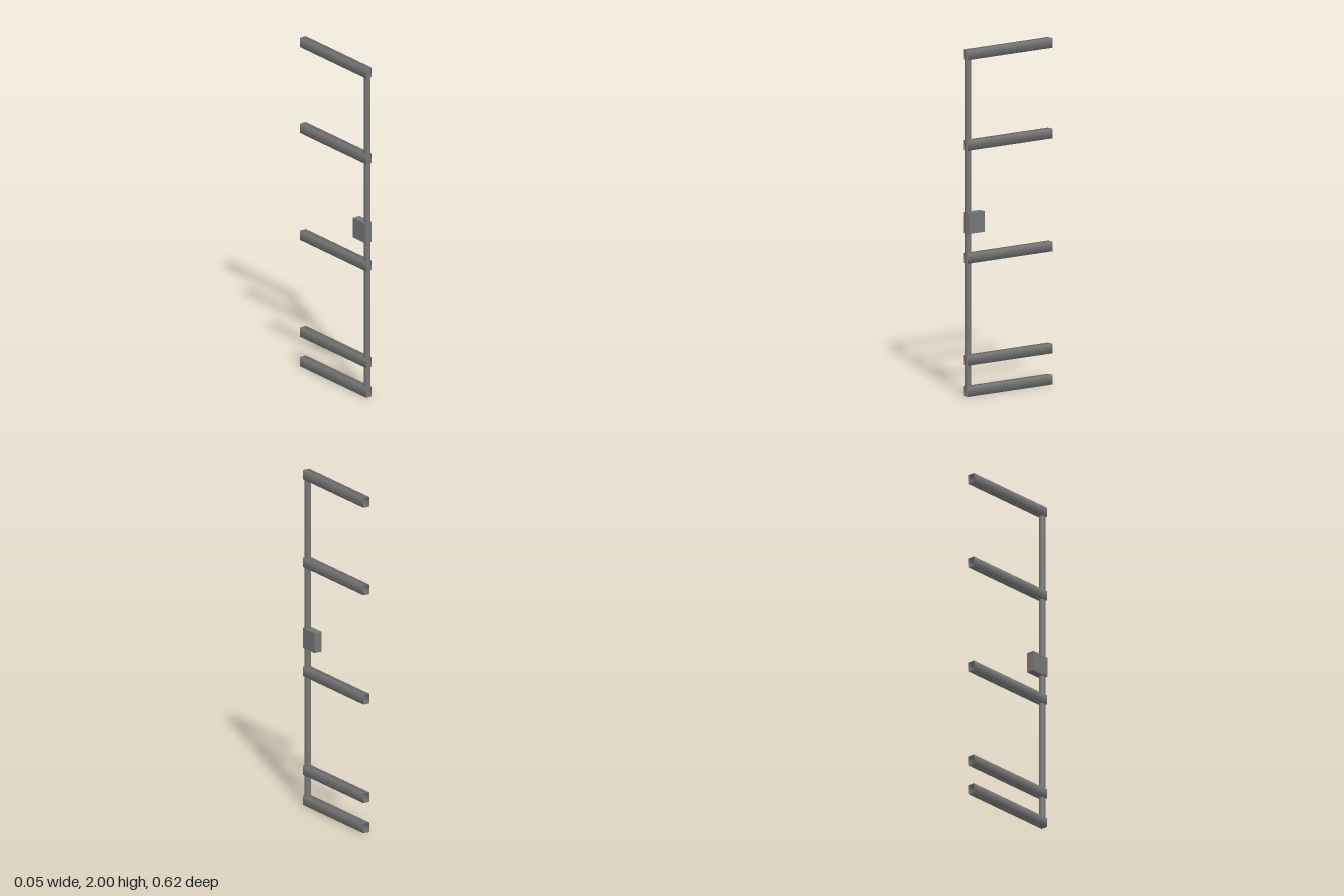
import * as THREE from 'three';

const DEPTH = 0.624; // length of each rail along z

export function createModel() {
  const model = new THREE.Group();
  model.name = 'railFrame';
  const material = new THREE.MeshStandardMaterial({ color: 0x777777, side: THREE.DoubleSide });

  function add(name, geometry, x, y, z) {
    const mesh = new THREE.Mesh(geometry, material);
    mesh.name = name;
    mesh.position.set(x, y, z);
    model.add(mesh);
  }

  // Thin rectangular tube along z, open at both ends, with softly shaded sides
  const rail = new THREE.CylinderGeometry(Math.SQRT2, Math.SQRT2, DEPTH, 4, 1, true)
    .rotateY(Math.PI / 4)
    .rotateX(Math.PI / 2)
    .scale(0.021, 0.028, 1);
  [0.028, 0.208, 0.797, 1.449, 1.972].forEach((y, i) =>
    add(`rail${i + 1}`, rail, 0, y, 0));

  // Round upright post joining the rails at the front
  add('post', new THREE.CylinderGeometry(0.0185, 0.0185, 1.99, 32), 0, 0.997, 0.2935);

  // Lock block behind the post
  add('lockBlock', new THREE.BoxGeometry(0.048, 0.12, 0.12), 0, 1, 0.25);

  return model;
}
